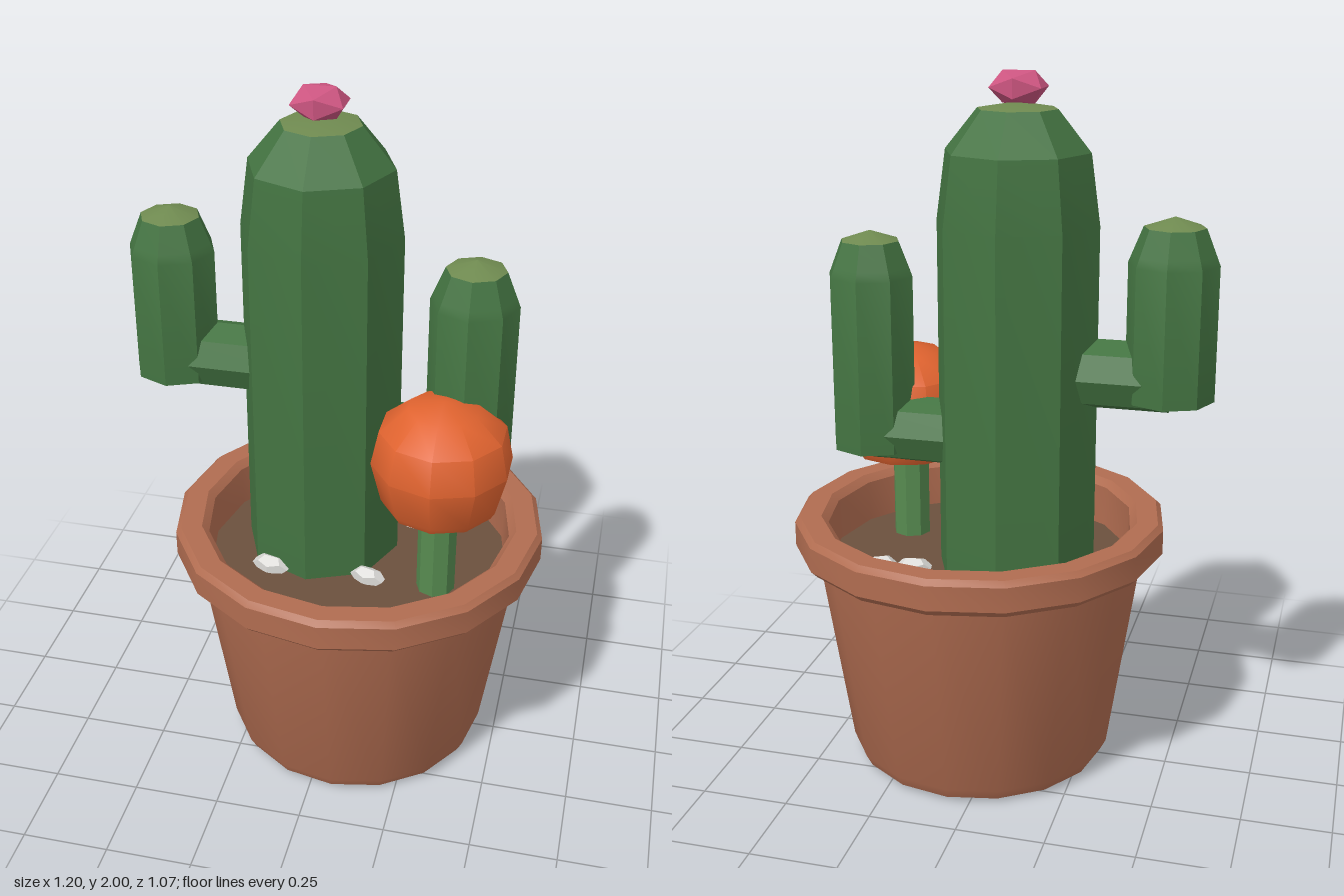
import * as THREE from 'three';
import { toCreasedNormals } from 'three/addons/utils/BufferGeometryUtils.js';

const paint = (name, color) => {
  const m = new THREE.MeshStandardMaterial({ color });
  m.name = name;
  return m;
};

export function createModel() {
  const group = new THREE.Group();
  const terracotta = paint('terracotta', 0xb06c50);
  const soilBrown = paint('soil brown', 0x6b503d);
  const cactusGreen = paint('cactus green', 0x437341);
  const tipGreen = paint('tip green', 0x6f8a50);
  const stemGreen = paint('stem green', 0x568a50);
  const orange = paint('orange', 0xe0632f);
  const pink = paint('pink', 0xcc5580);
  const stoneWhite = paint('stone white', 0xdcdbd8);

  const add = (name, geo, mat, x, y, z, crease = 0.5) => {
    const mesh = new THREE.Mesh(toCreasedNormals(geo, crease), mat);
    mesh.name = name;
    mesh.position.set(x, y, z);
    group.add(mesh);
    return mesh;
  };
  // Profiles are [radius, height] from bottom to top
  const lathe = (pts, sides) =>
    new THREE.LatheGeometry(pts.map(([r, y]) => new THREE.Vector2(r, y)), sides);

  const POT_X = 0.065, Z = -0.05, TRUNK_X = -0.055, SOIL = 0.61;

  // Pot with an overhanging rim and a hollow top
  add('pot', lathe([
    [0, 0], [0.345, 0], [0.368, 0.012], [0.385, 0.045], [0.475, 0.645], [0.515, 0.645],
    [0.535, 0.665], [0.535, 0.735], [0.52, 0.75], [0.46, 0.75], [0.44, 0.73], [0.435, 0.59],
  ], 16), terracotta, POT_X, 0, 0);
  add('soil', lathe([[0.438, SOIL], [0, SOIL]], 16), soilBrown, POT_X, 0, 0);

  // Trunk and its pale tip
  add('trunk', lathe([[0.226, SOIL - 0.02], [0.226, 1.6], [0.2, 1.79], [0.11, 1.9]], 8),
    cactusGreen, TRUNK_X, 0, Z);
  add('trunkTip', lathe([[0.11, 1.9], [0, 1.918]], 8), tipGreen, TRUNK_X, 0, Z);

  // Arms: a horizontal elbow and an upright column with a pale tip
  const arm = (side, x, bottom, top, elbowY) => {
    add(side + 'Arm', lathe([
      [0, bottom], [0.122, bottom], [0.122, top - 0.125], [0.112, top - 0.1], [0.083, top - 0.028],
    ], 8), cactusGreen, x, 0, Z);
    add(side + 'ArmTip', lathe([[0.083, top - 0.028], [0, top]], 8), tipGreen, x, 0, Z);
    const elbow = new THREE.CylinderGeometry(0.097, 0.097, Math.abs(x - TRUNK_X), 8);
    elbow.rotateZ(Math.PI / 2);
    add(side + 'Elbow', elbow, cactusGreen, (x + TRUNK_X) / 2, elbowY, Z);
  };
  arm('right', -0.48, 1.14, 1.635, 1.197);
  arm('left', 0.365, 0.94, 1.56, 0.995);

  // Pink flower on the crown
  const flower = new THREE.IcosahedronGeometry(0.083, 0);
  flower.scale(1, 0.6, 1);
  add('flower', flower, pink, TRUNK_X - 0.003, 1.955, Z, 0.1);

  // Small round orange cactus on a green stem
  add('smallStem', new THREE.CylinderGeometry(0.055, 0.055, 0.32, 8), stemGreen, 0.315, 0.75, 0.12);
  add('orangeBall', lathe([
    [0, 0.88], [0.155, 0.88], [0.167, 0.9], [0.197, 1.02], [0.176, 1.12], [0.1, 1.185], [0, 1.205],
  ], 10), orange, 0.315, 0, 0.095, 0.65);

  // Flat pebbles: x, z, half width, half depth, turn
  [
    [0.215, -0.175, 0.055, 0.035, 0.2], [0.31, -0.185, 0.05, 0.035, 0.5],
    [-0.165, 0.14, 0.06, 0.035, -0.2], [0.12, 0.135, 0.055, 0.03, -0.3],
  ].forEach(([x, z, w, d, turn], i) => {
    const geo = new THREE.DodecahedronGeometry(1, 0);
    geo.scale(w, 0.028, d);
    add('pebble' + (i + 1), geo, stoneWhite, x, SOIL + 0.012, z, 0.2).rotation.y = turn;
  });

  return group;
}
